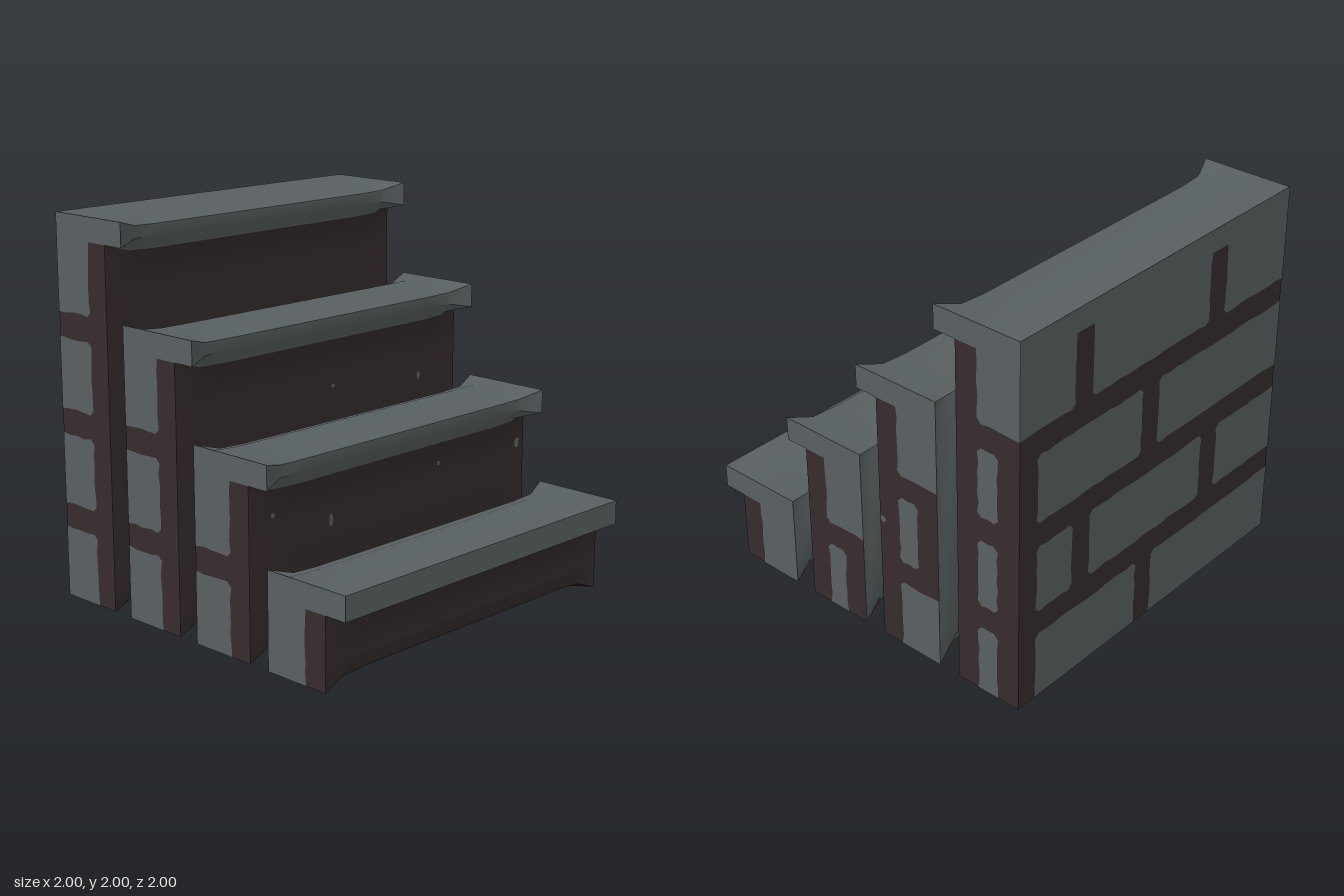
import * as THREE from 'three';
import { toCreasedNormals } from 'three/addons/utils/BufferGeometryUtils.js';

const stone = new THREE.MeshStandardMaterial({ color: 0x596062 });
stone.name = 'grey stone';
const mortar = new THREE.MeshStandardMaterial({ color: 0x372c2d });
mortar.name = 'dark mortar';

let seed = 7;
const rand = () => (seed = (seed * 16807) % 2147483647) / 2147483647;
const INSET = 0.002; // mortar sits this far behind the brick faces

// Brick face with worn edges; edges listed in flush (l r t b) stay straight
function brick(u0, v0, u1, v1, flush = '') {
  const has = (e) => flush.includes(e);
  const corners = [[u0, v0, 'b', 'l'], [u1, v0, 'r', 'b'], [u1, v1, 't', 'r'], [u0, v1, 'l', 't']];
  const pts = [];
  corners.forEach(([u, v, edge, prev], i) => {
    const [nu, nv, nextEdge] = corners[(i + 1) % 4];
    const len = Math.hypot(nu - u, nv - v);
    const du = (nu - u) / len, dv = (nv - v) / len;
    const cut = Math.min(0.025, len * 0.3);
    const start = has(edge) || has(prev) ? 0 : cut;
    const end = has(edge) || has(nextEdge) ? 0 : cut;
    const n = Math.max(2, Math.round(len / 0.06));
    for (let k = 0; k <= n; k++) {
      if (k === n && end === 0) continue;
      const s = start + (len - start - end) * k / n;
      const j = has(edge) || k === 0 || k === n ? 0 : rand() * 0.01;
      pts.push(new THREE.Vector2(u + du * s - dv * j, v + dv * s + du * j));
    }
  });
  return new THREE.ShapeGeometry(new THREE.Shape(pts));
}

function add(group, name, geo, mat, place) {
  const mesh = new THREE.Mesh(geo, mat);
  mesh.name = name;
  if (place) place(mesh);
  group.add(mesh);
  return mesh;
}

// Step body lofted along x: square at the ends, worn in the middle
function stepBody(f, h, first, last) {
  const b = f - 0.5 + (last ? INSET : 0);
  const r = f - 0.125;
  // each row: end z, y, worn z, y, is the strip after this point stone?
  const P = [
    [b, h, last ? b : b + 0.045, last ? h : h - 0.04, true],
    [b + 0.14, h, b + 0.14, last ? h : h - 0.012, true],
    [f - 0.14, h, f - 0.14, first ? h : h - 0.012, true],
    [f, h, first ? f : f - 0.055, first ? h : h - 0.04, true],
    [f, h - 0.125, first ? f : f - 0.055, first ? h - 0.125 : h - 0.095, true],
    [f - 0.09, h - 0.125, f - 0.088, h - 0.15, true],
    [r, h - 0.125, f - 0.095, h - 0.168, false],
    [r, h - 0.2, f - 0.107, h - 0.215, false],
    [r, h - 0.29, f - 0.12, h - 0.29, false],
    [r, h - 0.36, r, h - 0.36, false],
    [r, 0.12, r, 0.12, false],
    [r, 0, r - 0.02, 0.05, false],
    [r - 0.12, 0, r - 0.12, 0.008, false],
    [b + 0.12, 0, b + 0.12, last ? 0 : 0.008, false],
    [b, 0, last ? b : b + 0.045, last ? 0 : 0.045, !last],
    [b, 0.13, b, 0.13, !last],
    [b, h - 0.13, b, h - 0.13, !last],
  ];
  const E = 1 - INSET;
  const sections = [[-E, 0], [-0.87, 0.88], [-0.72, 1], [0.72, 1], [0.87, 0.88], [E, 0]];
  const at = (i, j) => {
    const [x, t] = sections[i];
    const p = P[j % P.length];
    return [x, p[1] + (p[3] - p[1]) * t, p[0] + (p[2] - p[0]) * t];
  };
  const strips = { true: [], false: [] };
  for (let i = 0; i < sections.length - 1; i++) {
    for (let j = 0; j < P.length; j++) {
      const a = at(i, j), c = at(i, j + 1), d = at(i + 1, j + 1), e = at(i + 1, j);
      const endPatch = i === 0 && (j === 12 || j === 13); // stone end of the underside
      strips[P[j][4] || endPatch].push(...c, ...d, ...e, ...c, ...e, ...a);
    }
  }
  const geo = new THREE.BufferGeometry();
  geo.setAttribute('position', new THREE.Float32BufferAttribute([...strips.true, ...strips.false], 3));
  const n = strips.true.length / 3;
  geo.addGroup(0, n, 0);
  geo.addGroup(n, strips.false.length / 3, 1);
  return toCreasedNormals(geo, 0.6);
}

// Side bricks per step: bottom y, top y, and whether the right side brick reaches the back
const ROWS = [
  [[0, 0.375, true]],
  [[0.5, 0.875, true], [0, 0.375, false]],
  [[1, 1.375, true], [0.5, 0.88, false], [0, 0.385, true]],
  [[1.5, 1.875, true], [1, 1.375, false], [0.5, 0.875, false], [0, 0.375, false]],
];

export function createModel() {
  const model = new THREE.Group();
  model.name = 'stairs';

  for (let s = 0; s < 4; s++) {
    const f = 1 - s * 0.5, h = 0.5 + s * 0.5, b = f - 0.5, r = f - 0.125;
    const step = new THREE.Group();
    step.name = 'step' + (s + 1);
    model.add(step);
    add(step, 'stepBody', stepBody(f, h, s === 0, s === 3), [stone, mortar]);

    for (const side of [1, -1]) {
      const put = (x) => (m) => { m.rotation.y = side * Math.PI / 2; m.position.x = side * x; };
      // local u runs along -z on the right-hand view side, +z on the other
      const face = (z0, y0, z1, y1, flush) => side > 0
        ? brick(-z1, y0, -z0, y1, flush.replace('k', 'r'))
        : brick(z0, y0, z1, y1, flush.replace('k', 'l'));
      const outline = [[b, 0], [r, 0], [r, h - 0.125], [f, h - 0.125], [f, h], [b, h]];
      const cap = new THREE.Shape(outline.map(([z, y]) => new THREE.Vector2(-side * z, y)));
      add(step, 'sideMortar', new THREE.ShapeGeometry(cap), mortar, put(1 - INSET));
      add(step, 'treadEnd', face(b, h - 0.125, f, h, 'lrtb'), stone, put(1));
      ROWS[s].forEach(([y0, y1, full], i) => {
        const toBack = full || side < 0;
        const flush = (toBack ? 'k' : '') + (i === 0 ? 't' : '') + (y0 === 0 ? 'b' : '');
        add(step, 'sideBrick', face(toBack ? b : b + 0.125, y0, r - 0.125, y1, flush), stone, put(1));
      });
    }
  }

  // Brickwork on the back, u running along -x
  const back = new THREE.Group();
  back.name = 'backBrickwork';
  back.rotation.y = Math.PI;
  back.position.z = -1;
  model.add(back);
  [
    [-1, 1.88, 1, 2, 'lrtb'],
    [-1, 1.5, -0.62, 1.88, 'lt'], [-0.5, 1.5, 0.38, 1.88, 't'], [0.5, 1.5, 1, 1.88, 'rt'],
    [-0.88, 1, -0.12, 1.375, ''], [0, 1, 1, 1.375, 'r'],
    [-0.88, 0.5, -0.62, 0.875, ''], [-0.5, 0.5, 0.38, 0.875, ''], [0.5, 0.5, 1, 0.875, 'r'],
    [-0.88, 0, -0.12, 0.375, 'b'], [0, 0, 1, 0.375, 'rb'],
  ].forEach((q) => add(back, 'backBrick', brick(...q), stone));

  // Small stone chips showing in the risers
  [
    [0.06, 1.08, -0.125, 0.012, 0.01], [0.71, 1.025, -0.125, 0.014, 0.022],
    [0.31, 0.72, 0.38, 0.012, 0.014], [-0.85, 0.7, 0.378, 0.013, 0.012],
    [-0.46, 0.59, 0.375, 0.013, 0.035], [0.94, 0.7, 0.378, 0.022, 0.03],
    [0.57, 0.25, 0.879, 0.012, 0.014],
  ].forEach(([x, y, z, w, t]) => add(model, 'riserChip', new THREE.CircleGeometry(1, 8), stone, (m) => {
    m.position.set(x, y, z + 0.003);
    m.scale.set(w, t, 1);
  }));
  add(model, 'sideChip', new THREE.CircleGeometry(0.018, 8), stone, (m) => {
    m.rotation.y = Math.PI / 2;
    m.position.set(1, 0.7, -0.145);
  });
  return model;
}
